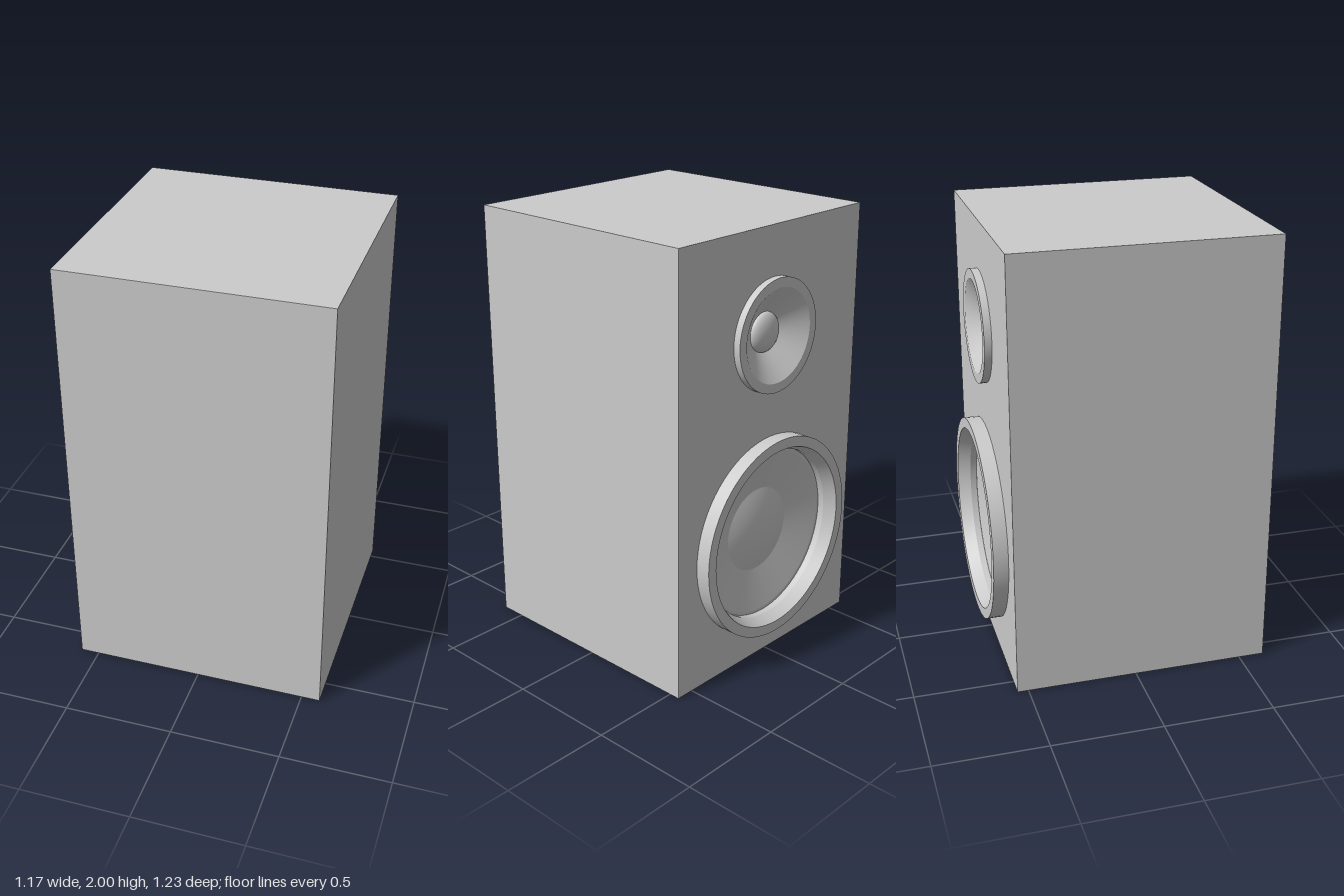
import * as THREE from 'three';
import { toCreasedNormals } from 'three/addons/utils/BufferGeometryUtils.js';

const W = 1.17, H = 2, FRONT = 0.617, BAFFLE = -0.55;
const material = new THREE.MeshStandardMaterial({ color: 0xcccccc });

function addMesh(parent, name, geometry) {
  const mesh = new THREE.Mesh(geometry, material);
  mesh.name = name;
  parent.add(mesh);
  return mesh;
}

// Turned part facing -z; profile points are [radius, height above the baffle]
function turned(profile, crease) {
  const geo = new THREE.LatheGeometry(profile.map(([r, h]) => new THREE.Vector2(r, h)), 72);
  geo.rotateX(-Math.PI / 2);
  return crease ? toCreasedNormals(geo, 0.3) : geo;
}

// Shallow convex dome: edge radius, edge height, rise
function domeProfile(radius, base, rise) {
  const points = [];
  for (let i = 0; i <= 10; i++) {
    const a = (i / 10) * Math.PI / 2;
    points.push([radius * Math.cos(a), base + rise * Math.sin(a)]);
  }
  points[10][0] = 0;
  return points;
}

// Flatter spherical cap, for a dust cap
function capProfile(radius, base, rise) {
  const points = [];
  for (let i = 0; i <= 10; i++) {
    const t = 1 - i / 10;
    points.push([radius * t, base + rise * (1 - t * t)]);
  }
  return points;
}

function driver(name, y, rim, cone, centre) {
  const group = new THREE.Group();
  group.name = name;
  group.position.set(0, y, BAFFLE);
  addMesh(group, name + 'Rim', turned(rim, true));
  addMesh(group, name + 'Cone', turned(cone));
  addMesh(group, name + 'Centre', turned(centre));
  return group;
}

export function createModel() {
  const model = new THREE.Group();
  model.name = 'speaker';

  // Cabinet: a box without its -z side
  const depth = FRONT - BAFFLE;
  const box = new THREE.BoxGeometry(W, H, depth);
  box.setIndex(Array.from(box.index.array).slice(0, 30));
  box.clearGroups();
  addMesh(model, 'cabinet', box).position.set(0, H / 2, (FRONT + BAFFLE) / 2);

  // Baffle with a round opening under each driver
  const wooferY = 0.59, tweeterY = 1.525;
  const panel = new THREE.Shape();
  panel.moveTo(-W / 2, 0).lineTo(W / 2, 0).lineTo(W / 2, H).lineTo(-W / 2, H).closePath();
  for (const [y, r] of [[wooferY, 0.45], [tweeterY, 0.235]]) {
    panel.holes.push(new THREE.Path().absarc(0, y, r, 0, Math.PI * 2, true));
  }
  const baffle = addMesh(model, 'baffle', new THREE.ShapeGeometry(panel, 36));
  baffle.rotation.y = Math.PI;
  baffle.position.z = BAFFLE;

  // Woofer: raised stepped rim, shallow cone, dust cap
  model.add(driver('woofer', wooferY,
    [[0.47, 0], [0.47, 0.067], [0.422, 0.067], [0.397, 0.01], [0.397, -0.02], [0.383, -0.02]],
    [[0.383, -0.02], [0.197, -0.064]],
    capProfile(0.197, -0.064, 0.03)));

  // Tweeter: thin rim, flared horn, dome
  model.add(driver('tweeter', tweeterY,
    [[0.253, 0], [0.253, 0.033], [0.21, 0.033]],
    [[0.21, 0.033], [0.09, -0.05]],
    domeProfile(0.09, -0.05, 0.04)));

  return model;
}
